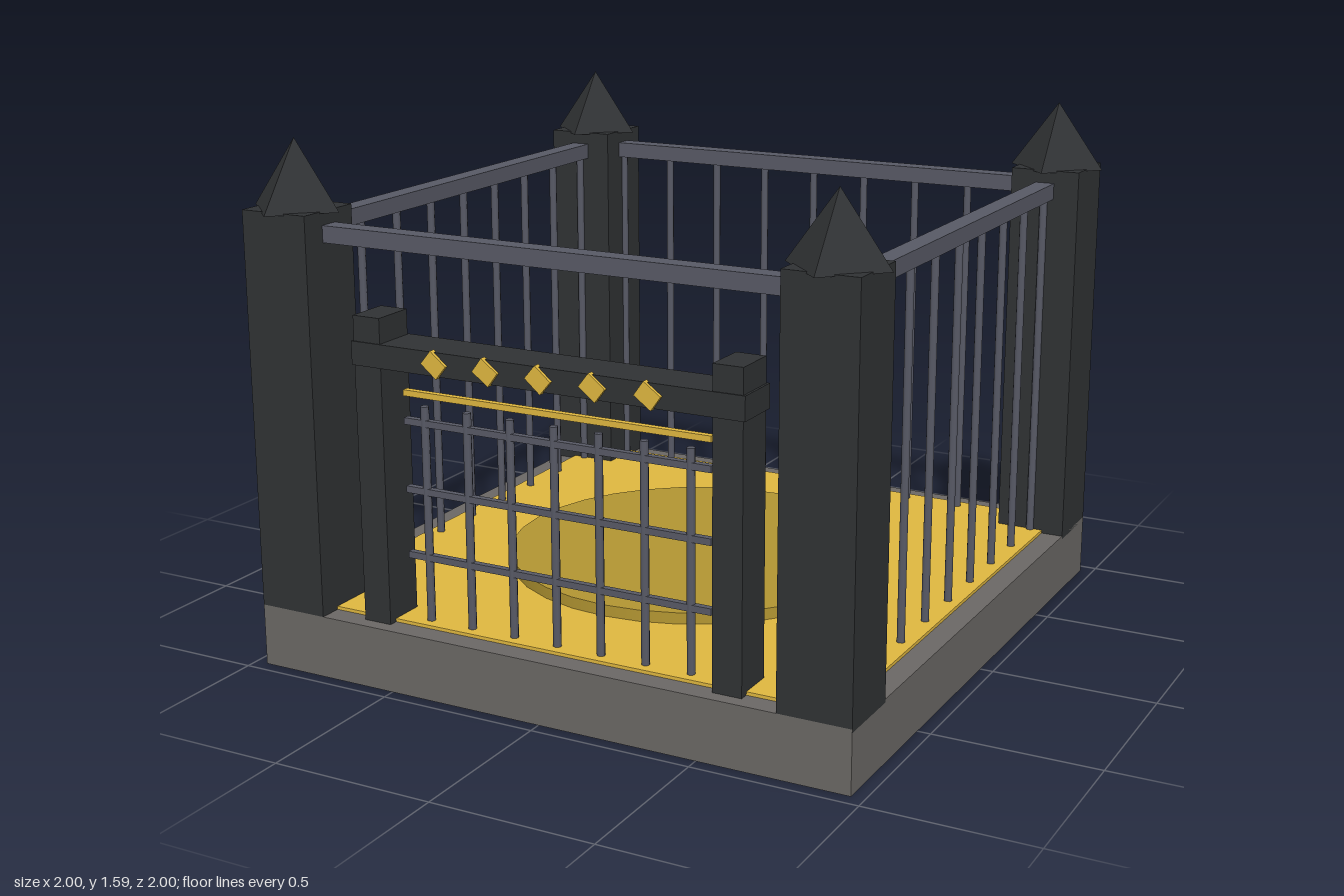
import * as THREE from 'three';

const mat = (color) => new THREE.MeshStandardMaterial({ color });

export function createModel() {
  const model = new THREE.Group();
  const stone = mat(0x6b6865), dark = mat(0x303234), iron = mat(0x585a66);
  const gold = mat(0xe0b840), dullGold = mat(0xb39632);
  const darkFlat = mat(0x303234);
  darkFlat.flatShading = true;

  const add = (parent, name, geometry, material, x, y, z) => {
    const mesh = new THREE.Mesh(geometry, material);
    mesh.name = name;
    mesh.position.set(x, y, z);
    parent.add(mesh);
    return mesh;
  };
  const box = (parent, name, w, h, d, material, x, y, z) =>
    add(parent, name, new THREE.BoxGeometry(w, h, d), material, x, y, z);
  const bar = (parent, name, r, length, material, x, y, z) =>
    add(parent, name, new THREE.CylinderGeometry(r, r, length, 8), material, x, y, z);
  const group = (name) => {
    const g = new THREE.Group();
    g.name = name;
    model.add(g);
    return g;
  };

  // Plinth, floor and round platform
  box(model, 'base', 1.92, 0.19, 1.92, stone, 0, 0.095, 0);
  box(model, 'floor', 1.78, 0.02, 1.78, gold, 0, 0.19, 0);
  add(model, 'platform', new THREE.CylinderGeometry(0.59, 0.59, 0.035, 32), dullGold, 0, 0.2175, 0);

  // Corner pillars with four-sided caps
  for (const x of [-0.85, 0.85]) {
    for (const z of [-0.85, 0.85]) {
      const pillar = group('cornerPillar');
      box(pillar, 'pillarShaft', 0.22, 1.21, 0.22, dark, x, 0.785, z);
      add(pillar, 'pillarCap', new THREE.ConeGeometry(0.15, 0.205, 4), darkFlat, x, 1.488, z);
    }
  }

  // Fence sides: a top rail each, with bars on all but the front
  for (let side = 0; side < 4; side++) {
    const fence = group('fenceSide');
    fence.rotation.y = side * Math.PI / 2;
    box(fence, 'topRail', 1.6, 0.05, 0.06, iron, 0, 1.325, 0.85);
    if (side === 0) continue;
    for (let i = -4; i <= 4; i++) {
      bar(fence, 'fenceBar', 0.0125, 1.12, iron, i * 0.184, 0.75, 0.85);
    }
  }

  // Gate frame
  const gate = group('gate');
  for (const x of [-0.573, 0.573]) {
    box(gate, 'gatePost', 0.09, 1.11, 0.135, dark, x, 0.555, 0.85);
  }
  box(gate, 'gateBeam', 1.25, 0.07, 0.146, dark, 0, 1.0, 0.848);

  // Gate grille
  for (let i = -3; i <= 3; i++) {
    bar(gate, 'gateBar', 0.0125, 0.66, iron, i * 0.143, 0.52, 0.85);
  }
  for (const y of [0.395, 0.595, 0.8]) {
    box(gate, 'gateCrossbar', 0.99, 0.02, 0.02, iron, 0, y, 0.85);
  }
  box(gate, 'goldCrossbar', 0.99, 0.018, 0.02, gold, 0, 0.884, 0.85);

  // Tilted gold studs along the beam
  for (let i = -2; i <= 2; i++) {
    const stud = box(gate, 'goldStud', 0.064, 0.052, 0.02, gold, i * 0.17, 1.0, 0.921);
    stud.rotation.z = -Math.PI / 4 + (i + 2) * 0.04 + (i < 0 ? 0.1 : 0);
  }

  return model;
}
